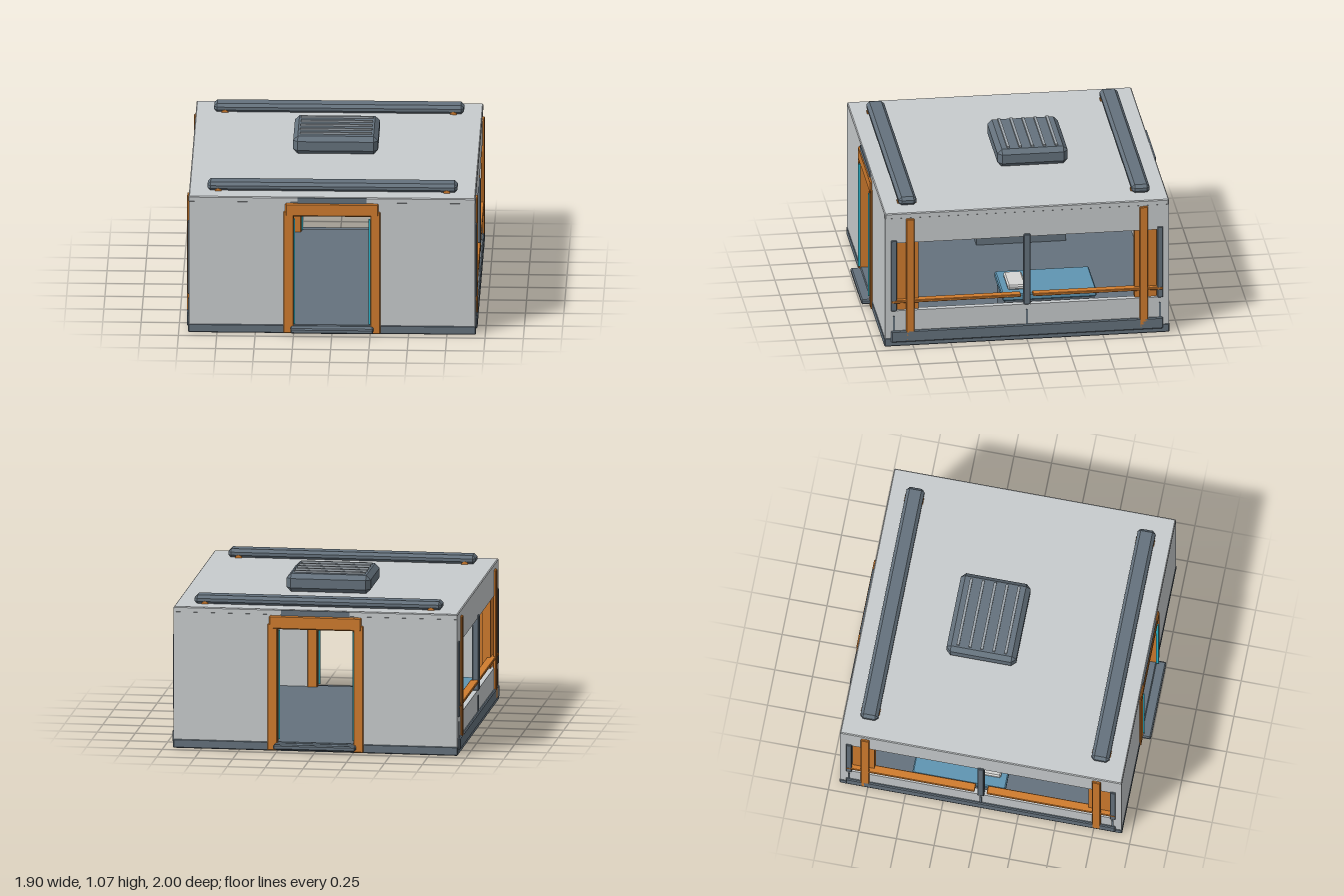
import * as THREE from 'three';
import { ConvexGeometry } from 'three/addons/geometries/ConvexGeometry.js';

const mat = (name, color) => {
  const m = new THREE.MeshStandardMaterial({ color });
  m.name = name;
  return m;
};

export function createModel() {
  const root = new THREE.Group();
  root.name = 'habitatModule';
  const shell = mat('shell light grey', 0xc8ccce);
  const steel = mat('steel blue grey', 0x65727d);
  const orange = mat('trim orange', 0xd07c2e);
  const blue = mat('mattress blue', 0x5f95b2);
  const cyan = mat('light strip cyan', 0x2ab5cc);
  const slat = mat('slat grey', 0x9aa2a8);
  const linen = mat('pillow off white', 0xd6d6d4);

  const add = (name, geo, m, parent = root) => {
    const mesh = new THREE.Mesh(geo, m);
    mesh.name = name;
    parent.add(mesh);
    return mesh;
  };

  // Box given by its limits; c > 0 chamfers every edge
  const box = (name, m, [x0, x1], [y0, y1], [z0, z1], c = 0, parent = root) => {
    const w = Math.abs(x1 - x0), h = y1 - y0, d = Math.abs(z1 - z0);
    let geo;
    if (c > 0) {
      const pts = [];
      for (const sx of [-1, 1]) for (const sy of [-1, 1]) for (const sz of [-1, 1]) {
        const a = w / 2, b = h / 2, e = d / 2;
        pts.push(
          new THREE.Vector3(sx * a, sy * (b - c), sz * (e - c)),
          new THREE.Vector3(sx * (a - c), sy * b, sz * (e - c)),
          new THREE.Vector3(sx * (a - c), sy * (b - c), sz * e));
      }
      geo = new ConvexGeometry(pts);
    } else geo = new THREE.BoxGeometry(w, h, d);
    const mesh = add(name, geo, m, parent);
    mesh.position.set((x0 + x1) / 2, (y0 + y1) / 2, (z0 + z1) / 2);
    return mesh;
  };

  const rect = (path, x0, y0, x1, y1) =>
    path.moveTo(x0, y0).lineTo(x1, y0).lineTo(x1, y1).lineTo(x0, y1).closePath();

  // Floor slab and roof
  box('floorSlab', steel, [-0.938, 0.938], [0, 0.06], [-0.938, 0.938], 0.006);
  box('roof', shell, [-0.935, 0.935], [0.9, 0.94], [-0.935, 0.935], 0.006);

  // End walls with a doorway
  const endShape = new THREE.Shape();
  [[-0.934, 0.05], [-0.26, 0.05], [-0.26, 0.82], [0.26, 0.82], [0.26, 0.05],
    [0.934, 0.05], [0.934, 0.93], [-0.934, 0.93]]
    .forEach(([x, y], i) => (i ? endShape.lineTo(x, y) : endShape.moveTo(x, y)));
  const endGeo = new THREE.ExtrudeGeometry(endShape, { depth: 0.04, bevelEnabled: false });

  // Side walls with a wide window
  const sideShape = new THREE.Shape();
  rect(sideShape, -0.9, 0.05, 0.9, 0.93);
  const hole = new THREE.Path();
  rect(hole, -0.86, 0.25, 0.86, 0.73);
  sideShape.holes.push(hole);
  const sideGeo = new THREE.ExtrudeGeometry(sideShape, { depth: 0.04, bevelEnabled: false });

  // Door ends, front and back
  for (const s of [1, -1]) {
    const end = new THREE.Group();
    end.name = s > 0 ? 'frontEnd' : 'backEnd';
    end.rotation.y = s > 0 ? 0 : Math.PI;
    root.add(end);
    add('endWall', endGeo, shell, end).position.z = 0.894;
    for (const x of [-1, 1]) {
      box('doorPost', orange, [x * 0.25, x * 0.316], [0.003, 0.845], [0.875, 0.945], 0.005, end);
      // The back strips sit just inside the doorway
      const z = s > 0 ? [0.938, 0.954] : [0.88, 0.896];
      box('doorLightStrip', cyan, [x * 0.24, x * 0.251], [0.07, 0.795], z, 0, end);
    }
    box('doorLintel', orange, [-0.305, 0.305], [0.81, 0.9], [0.875, 0.947], 0.008, end);
    box('doorStep', steel, [-0.27, 0.27], [0.018, 0.052], [0.9, 1], 0.008, end);
    box('doorHeaderPlate', steel, [-0.225, 0.225], [0.9, 0.937], [0.92, 0.942], 0, end);
  }

  // Window sides, left and right
  for (const s of [1, -1]) {
    const side = new THREE.Group();
    side.name = s > 0 ? 'leftSide' : 'rightSide';
    root.add(side);
    const wall = add('sideWall', sideGeo, shell, side);
    wall.rotation.y = s * Math.PI / 2;
    wall.position.x = s * 0.894;
    const b = (name, m, x, y, z, c = 0) => box(name, m, [s * x[0], s * x[1]], y, z, c, side);
    b('sideSkirtRail', steel, [0.92, 0.948], [0.03, 0.11], [-0.895, 0.895], 0.007);
    b('windowMullion', steel, [0.9, 0.945], [0.25, 0.75], [-0.022, 0.022], 0.005);
    b('sillSeam', steel, [0.925, 0.94], [0.11, 0.215], [-0.007, 0.007]);
    for (const f of [1, -1]) {
      const z = (p, q) => [f * p, f * q];
      b('outerPost', orange, [0.925, 0.948], [0.04, 0.9], z(0.74, 0.796), 0.005);
      b('cornerPost', orange, [0.82, 0.9], [0.05, 0.93], z(0.8, 0.9));
      b('windowJamb', orange, [0.86, 0.915], [0.25, 0.73], z(0.71, 0.855));
      b('windowEndStrip', steel, [0.925, 0.944], [0.25, 0.75], z(0.857, 0.895), 0.004);
      b('sillSeam', steel, [0.925, 0.94], [0.11, 0.215], z(0.869, 0.881));
      b('windowRail', orange, [0.89, 0.946], [0.306, 0.325], z(0.04, 0.893), 0.004);
    }

    // Bunk along the window
    b('bunkBase', steel, [0.51, 0.88], [0.055, 0.262], [-0.45, 0.14]);
    b('mattress', blue, [0.49, 0.89], [0.258, 0.304], [-0.465, 0.155], 0.008);
    b('pillow', linen, [0.58, 0.82], [0.303, 0.336], [-0.01, 0.11], 0.01);
  }

  // Roof bars with round clamps
  for (const f of [1, -1]) {
    box('roofBar', steel, [-0.815, 0.815], [0.936, 0.996], [f * 0.708, f * 0.826], 0.02);
    for (const s of [1, -1]) {
      const clamp = add('roofBarClamp', new THREE.CylinderGeometry(0.025, 0.025, 0.124, 8), orange);
      clamp.rotation.x = Math.PI / 2;
      clamp.position.set(s * 0.745, 0.934, f * 0.767);
    }
  }

  // Roof vent with slats
  box('roofVent', steel, [-0.277, 0.277], [0.938, 1.06], [-0.36, 0.103], 0.03);
  for (let i = 0; i < 5; i++) {
    const z = -0.287 + i * 0.079;
    box('ventSlat', slat, [-0.235, 0.235], [1.055, 1.072], [z - 0.009, z + 0.009]);
  }
  return root;
}
